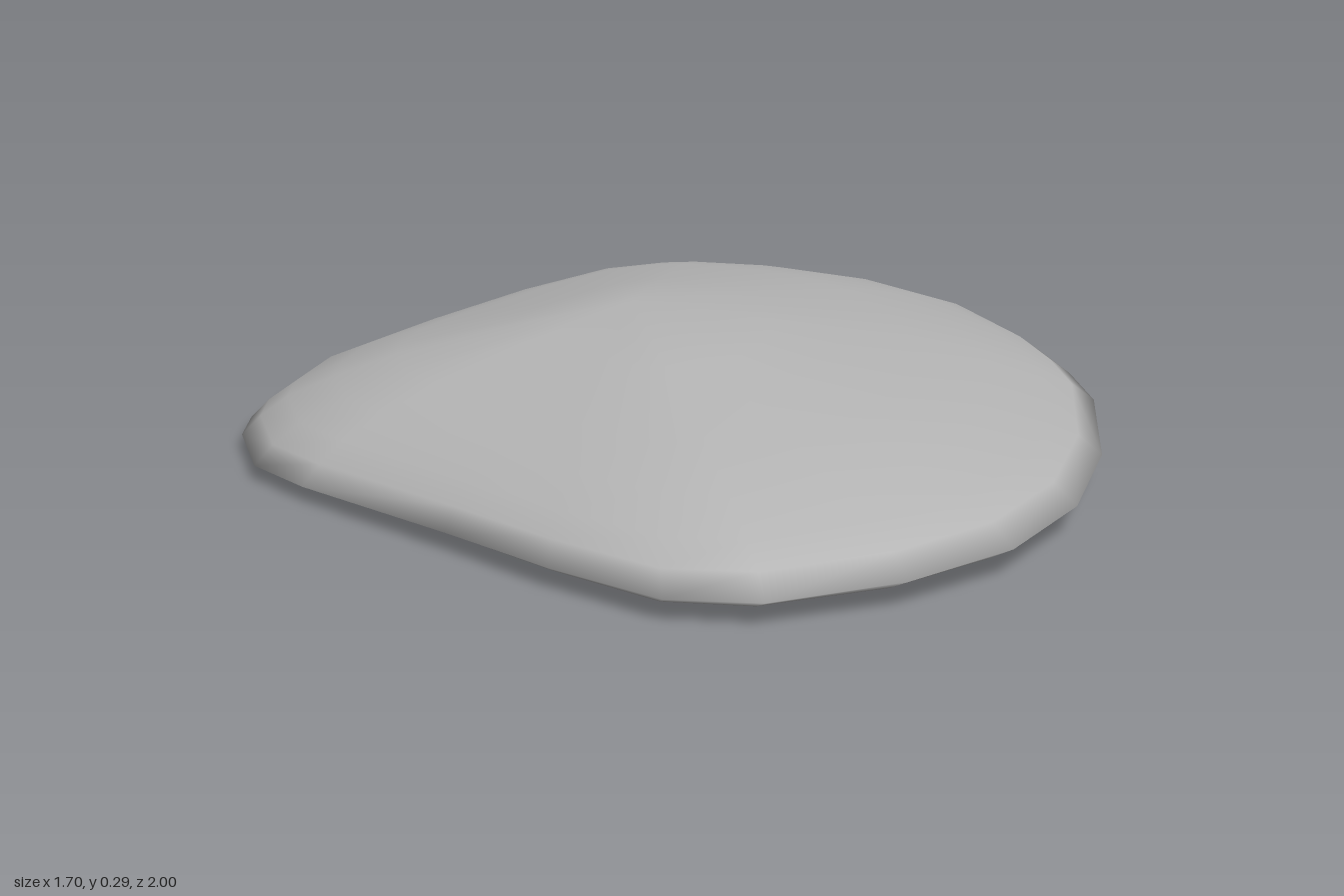
import * as THREE from 'three';

// Plan outline of the pebble (x, z), counter-clockwise seen from above
const OUTLINE = [
  [0.85, 0], [0.835, -0.18], [0.8, -0.35], [0.7, -0.62], [0.55, -0.81], [0.35, -0.94],
  [0.15, -1], [0.06, -1], [-0.11, -0.95], [-0.35, -0.75], [-0.6, -0.48], [-0.77, -0.27],
  [-0.84, -0.09], [-0.85, 0.02], [-0.81, 0.21], [-0.71, 0.34], [-0.44, 0.61], [-0.26, 0.8],
  [-0.07, 0.965], [0.1, 1], [0.35, 0.93], [0.55, 0.8], [0.7, 0.6], [0.8, 0.33],
];
// Section from top to base: share of the outline, height, tilt of the ring along x
const RINGS = [
  [0.3, 0.243, 0], [0.6, 0.193, 0.005], [0.76, 0.153, 0.008], [0.88, 0.115, 0.01],
  [0.95, 0.083, 0.018], [1, 0.046, 0.02], [0.94, 0.018, 0.006], [0.8, 0.009, 0], [0.5, 0.004, 0],
];
const PEAK = [-0.08, 0.29, 0.01];

function pebbleGeometry() {
  const n = OUTLINE.length;
  const positions = [...PEAK];
  const index = [];
  for (const [share, height, tilt] of RINGS) {
    for (const [x, z] of OUTLINE) {
      positions.push(
        THREE.MathUtils.lerp(PEAK[0], x, share),
        height + tilt * x,
        THREE.MathUtils.lerp(PEAK[2], z, share),
      );
    }
  }
  positions.push(PEAK[0], 0, PEAK[2]);
  const base = 1 + RINGS.length * n;
  const at = (ring, j) => 1 + ring * n + (j % n);
  for (let j = 0; j < n; j++) {
    // Fan at the peak, bands down the side, fan under the base
    index.push(0, at(0, j), at(0, j + 1));
    for (let r = 0; r < RINGS.length - 1; r++) {
      const a = at(r, j), b = at(r, j + 1), c = at(r + 1, j), d = at(r + 1, j + 1);
      index.push(c, d, b, c, b, a);
    }
    index.push(base, at(RINGS.length - 1, j + 1), at(RINGS.length - 1, j));
  }
  const geometry = new THREE.BufferGeometry();
  geometry.setAttribute('position', new THREE.Float32BufferAttribute(positions, 3));
  geometry.setIndex(index);
  geometry.computeVertexNormals();
  return geometry;
}

export function createModel() {
  const stone = new THREE.MeshStandardMaterial({ color: 0xb4b4b4 });
  stone.name = 'stone grey';
  const pebble = new THREE.Mesh(pebbleGeometry(), stone);
  pebble.name = 'pebble';
  const model = new THREE.Group();
  model.name = 'flatStone';
  model.add(pebble);
  return model;
}
